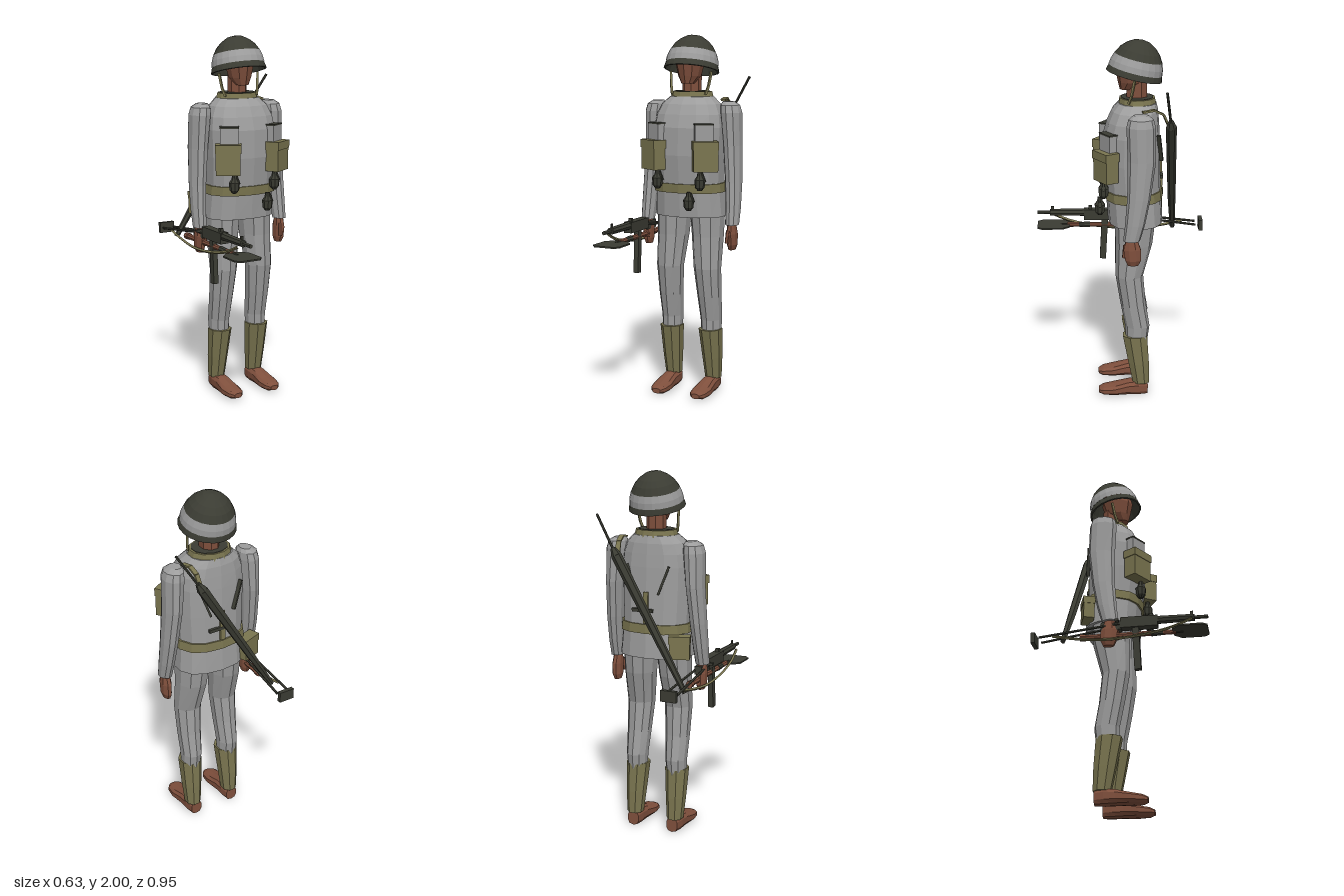
import * as THREE from 'three';

const mat = (name, color) => Object.assign(new THREE.MeshStandardMaterial({ color }), { name });

export function createModel() {
  const cloth = mat('grey cloth', 0x9d9d9d);
  const khaki = mat('khaki webbing', 0x7b7650);
  const dark = mat('dark metal', 0x3b3c33);
  const skin = mat('brown skin and leather', 0x80503d);
  const root = new THREE.Group();
  const V = (p) => new THREE.Vector3(...p);

  // adds a faceted mesh
  function add(name, geo, material, parent = root) {
    const g = geo.index ? geo.toNonIndexed() : geo;
    g.computeVertexNormals();
    const m = new THREE.Mesh(g, material);
    m.name = name;
    parent.add(m);
    return m;
  }

  // closed body through elliptical sections [y, cx, cz, rx, rz], bottom to top
  function loft(sections, n = 10, power = 1) {
    const pos = [], idx = [];
    const sp = (v) => Math.sign(v) * Math.abs(v) ** power;
    sections.forEach(([y, cx, cz, rx, rz]) => {
      for (let j = 0; j < n; j++) {
        const a = ((j + 0.5) / n) * Math.PI * 2;
        pos.push(cx + rx * sp(Math.cos(a)), y, cz + rz * sp(Math.sin(a)));
      }
    });
    const last = sections.length - 1, base = pos.length / 3;
    for (const s of [sections[0], sections[last]]) pos.push(s[1], s[0], s[2]);
    for (let j = 0; j < n; j++) {
      const k = (j + 1) % n;
      for (let i = 0; i < last; i++) {
        const a = i * n + j, b = i * n + k;
        idx.push(a, a + n, b, b, a + n, b + n);
      }
      idx.push(base, j, k, base + 1, last * n + k, last * n + j);
    }
    const g = new THREE.BufferGeometry();
    g.setAttribute('position', new THREE.Float32BufferAttribute(pos, 3));
    g.setIndex(idx);
    return g;
  }

  // tapered round rod from a to b
  function rod(name, a, b, ra, rb, material, sides = 6) {
    const A = V(a), B = V(b), d = B.clone().sub(A);
    const m = add(name, new THREE.CylinderGeometry(rb, ra, d.length(), sides), material);
    m.position.copy(A).add(B).multiplyScalar(0.5);
    m.quaternion.setFromUnitVectors(new THREE.Vector3(0, 1, 0), d.normalize());
    return m;
  }

  // flat bar of width w and height h from a to b
  function bar(name, a, b, w, h, material) {
    const A = V(a), B = V(b);
    const m = add(name, new THREE.BoxGeometry(w, h, A.distanceTo(B)), material);
    m.position.copy(A).add(B).multiplyScalar(0.5);
    m.lookAt(B);
    return m;
  }

  function box(name, size, p, material, ry = 0) {
    const m = add(name, new THREE.BoxGeometry(...size), material);
    m.position.set(...p);
    m.rotation.y = ry;
    return m;
  }

  const C = 0.01; // body centre line
  // tunic from [y, half width, front z, back z]
  const section = ([y, w, f, b]) => [y, C, (f + b) / 2, w, (f - b) / 2];
  add('tunic', loft([
    [1.01, 0.205, 0.07, -0.23], [1.15, 0.195, 0.08, -0.222], [1.2, 0.19, 0.085, -0.218],
    [1.35, 0.197, 0.1, -0.215], [1.5, 0.2, 0.095, -0.21], [1.57, 0.19, 0.075, -0.205],
    [1.625, 0.165, 0.05, -0.2], [1.665, 0.12, 0.015, -0.19],
  ].map(section), 14, 0.85), cloth);
  add('belt', loft([[1.145, 0.205, 0.09, -0.23], [1.195, 0.2, 0.093, -0.227]].map(section), 14, 0.85), khaki);
  add('collar', loft([[1.655, 0.122, 0.015, -0.192], [1.692, 0.112, 0.008, -0.185]].map(section), 12), khaki);
  add('collarLining', loft([[1.68, 0.1, 0, -0.175], [1.695, 0.1, 0, -0.175]].map(section), 12), dark);

  // neck and head
  add('neck', loft([[1.64, C, -0.085, 0.052, 0.06], [1.8, C, -0.085, 0.052, 0.058]], 8), skin);
  add('head', loft([
    [1.735, C, -0.03, 0.035, 0.035], [1.775, C, -0.055, 0.062, 0.07],
    [1.85, C, -0.06, 0.08, 0.09], [1.92, C, -0.065, 0.07, 0.075],
  ], 10), skin);

  // tilted helmet with a pale band
  const helmet = new THREE.Group();
  helmet.name = 'helmet';
  helmet.position.set(0.013, 1.805, -0.07);
  helmet.rotation.x = -0.24;
  root.add(helmet);
  const lathe = (name, pts, m) =>
    add(name, new THREE.LatheGeometry(pts.map((p) => new THREE.Vector2(...p)), 22), m, helmet);
  lathe('helmetLiningAndRim', [[0.001, 0.175], [0.09, 0.13], [0.13, 0.05], [0.144, 0], [0.153, 0.002], [0.15, 0.015], [0.144, 0.035]], dark);
  lathe('helmetBand', [[0.146, 0.034], [0.142, 0.065], [0.13, 0.1]], cloth);
  lathe('helmetCrown', [[0.13, 0.1], [0.108, 0.137], [0.08, 0.165], [0.045, 0.187], [0.001, 0.196]], dark);

  for (const s of [1, -1]) {
    const X = (x) => C + s * x;
    bar('chinStrap', [X(0.122), 1.8, -0.07], [X(0.112), 1.72, -0.055], 0.012, 0.012, khaki);
    bar('chinStrap', [X(0.112), 1.72, -0.055], [X(0.1), 1.675, -0.04], 0.012, 0.012, khaki);

    // arms and hands
    add('sleeve', loft([
      [0.97, X(0.258), -0.052, 0.037, 0.045], [1.06, X(0.256), -0.07, 0.041, 0.053],
      [1.2, X(0.25), -0.09, 0.045, 0.062], [1.4, X(0.238), -0.105, 0.05, 0.074],
      [1.58, X(0.228), -0.1, 0.058, 0.076], [1.62, X(0.222), -0.1, 0.052, 0.066],
      [1.64, X(0.212), -0.1, 0.03, 0.04],
    ], 10), cloth);
    add('hand', loft([
      [0.83, X(0.255), -0.06, 0.018, 0.03], [0.86, X(0.257), -0.06, 0.027, 0.045],
      [0.92, X(0.257), -0.055, 0.028, 0.05], [0.98, X(0.256), -0.052, 0.022, 0.03],
    ], 8), skin);
    rod('thumb', [X(0.25), 0.94, -0.02], [X(0.243), 0.87, -0.012], 0.014, 0.011, skin);

    // trousers, gaiters and shoes
    add('trouserLeg', loft([
      [0.32, X(0.121), -0.085, 0.054, 0.06], [0.42, X(0.12), -0.09, 0.06, 0.068],
      [0.56, X(0.118), -0.065, 0.068, 0.07], [0.72, X(0.114), -0.045, 0.077, 0.076],
      [0.9, X(0.105), -0.07, 0.088, 0.1], [1.04, X(0.1), -0.075, 0.096, 0.112],
    ], 10), cloth);
    add('gaiter', loft([
      [0.075, X(0.124), -0.112, 0.046, 0.05], [0.2, X(0.123), -0.098, 0.056, 0.062],
      [0.365, X(0.12), -0.077, 0.066, 0.073],
    ], 8), khaki);
    const shoe = loft([
      [-0.15, X(0.121), -0.043, 0.034, 0.042], [-0.1, X(0.122), -0.045, 0.044, 0.046],
      [-0.04, X(0.122), -0.042, 0.046, 0.042], [0.04, X(0.122), -0.031, 0.055, 0.031],
      [0.1, X(0.121), -0.026, 0.046, 0.024], [0.127, X(0.12), -0.024, 0.024, 0.014],
    ], 10, 0.75);
    add('shoe', shoe.rotateX(Math.PI / 2), skin);

    // chest pouches with flap, pocket above and grenade below
    const turn = s * 0.55;
    box('ammoPouch', [0.132, 0.16, 0.075], [X(0.155), 1.35, 0.082], khaki, turn);
    box('pouchFlap', [0.14, 0.045, 0.083], [X(0.155), 1.41, 0.082], khaki, turn);
    box('chestPocket', [0.1, 0.1, 0.05], [X(0.14), 1.475, 0.068], cloth, turn);
    box('pocketSeam', [0.104, 0.008, 0.054], [X(0.14), 1.522, 0.068], dark, turn);

    // suspenders on the back
    bar('backStrap', [X(0.125), 1.51, -0.198], [X(0.07), 1.36, -0.217], 0.02, 0.012, dark);
  }
  bar('backStrapCentre', [C, 1.37, -0.217], [C, 1.2, -0.222], 0.028, 0.012, khaki);
  box('backStrapRing', [0.12, 0.018, 0.016], [0.03, 1.27, -0.219], dark);
  box('hipPouch', [0.11, 0.12, 0.06], [-0.175, 1.08, -0.19], khaki, 0.35);
  box('hipPouchFlap', [0.116, 0.04, 0.066], [-0.175, 1.125, -0.19], khaki, 0.35);

  // hanging grenades
  for (const [x, y, z] of [[-0.115, 1.215, 0.095], [0.14, 1.215, 0.095], [0.083, 1.105, 0.115]]) {
    add('grenade', loft([
      [y - 0.048, x, z, 0.012, 0.012], [y - 0.03, x, z, 0.026, 0.026], [y + 0.01, x, z, 0.03, 0.03],
      [y + 0.03, x, z, 0.016, 0.016], [y + 0.052, x, z, 0.012, 0.012],
    ], 8), dark);
    bar('grenadeLever', [x + 0.012, y + 0.05, z], [x + 0.033, y, z], 0.01, 0.008, dark);
  }

  // long gun slung across the back
  rod('slungStock', [-0.26, 0.87, -0.305], [-0.13, 1.083, -0.29], 0.014, 0.022, dark);
  rod('slungBody', [-0.13, 1.083, -0.29], [0.16, 1.56, -0.262], 0.022, 0.029, dark);
  rod('slungNose', [0.16, 1.56, -0.262], [0.183, 1.598, -0.258], 0.029, 0.014, dark);
  rod('slungMuzzle', [0.18, 1.59, -0.258], [0.292, 1.77, -0.23], 0.007, 0.007, dark);
  const sling = [[0.16, 1.55, -0.255], [0.168, 1.63, -0.22], [0.175, 1.655, -0.17], [0.185, 1.645, -0.11]];
  sling.slice(1).forEach((p, i) => bar('shoulderSling', sling[i], p, 0.026, 0.01, khaki));

  // hand-held gun pointing forward
  const G = -0.242;
  box('gunReceiver', [0.048, 0.06, 0.2], [G, 0.955, 0.105], dark);
  box('gunRearBody', [0.04, 0.045, 0.11], [G, 0.94, -0.045], dark);
  rod('gunBarrelJacket', [G, 0.965, 0.19], [G, 0.965, 0.4], 0.023, 0.02, dark, 8);
  rod('gunMuzzle', [G, 0.965, 0.4], [G, 0.965, 0.472], 0.011, 0.011, dark);
  box('frontSight', [0.008, 0.025, 0.016], [G, 0.99, 0.385], dark);
  box('rearSight', [0.02, 0.02, 0.02], [G, 0.993, 0.17], dark);
  box('gunBolt', [0.03, 0.014, 0.018], [-0.278, 0.96, -0.01], dark);
  bar('magazine', [G, 0.93, 0.085], [G, 0.685, 0.098], 0.028, 0.036, dark);
  rod('gunGrip', [G, 0.93, -0.03], [G, 0.84, -0.06], 0.016, 0.018, dark);
  for (const [x0, x1] of [[-0.262, -0.275], [-0.225, -0.208]]) {
    rod('stockRod', [x0, 0.95, 0], [x1, 0.895, -0.435], 0.007, 0.007, dark);
  }
  box('buttPlate', [0.088, 0.06, 0.022], [G, 0.893, -0.465], dark);
  const curve = new THREE.CatmullRomCurve3([
    [-0.268, 0.95, 0.39], [-0.276, 0.905, 0.29], [-0.28, 0.872, 0.15], [-0.278, 0.855, -0.05],
    [-0.272, 0.868, -0.2], [-0.268, 0.9, -0.36],
  ].map(V));
  add('gunSling', new THREE.TubeGeometry(curve, 14, 0.008, 4), khaki);

  // shovel held alongside
  rod('shovelHandle', [G, 0.89, -0.2], [G, 0.89, 0.3], 0.016, 0.014, skin, 8);
  rod('shovelPommel', [G, 0.89, -0.215], [G, 0.89, -0.185], 0.02, 0.02, skin, 8);
  const blade = new THREE.Shape([
    [-0.04, 0.285], [-0.078, 0.325], [-0.08, 0.445], [-0.058, 0.472],
    [0.058, 0.472], [0.08, 0.445], [0.078, 0.325], [0.04, 0.285],
  ].map((p) => new THREE.Vector2(...p)));
  const bladeGeo = new THREE.ExtrudeGeometry(blade, { depth: 0.008, bevelEnabled: false });
  add('shovelBlade', bladeGeo.rotateX(Math.PI / 2), dark).position.set(G, 0.894, 0);
  rod('shovelSocket', [G, 0.89, 0.17], [G, 0.89, 0.34], 0.018, 0.008, dark, 8);

  return root;
}
